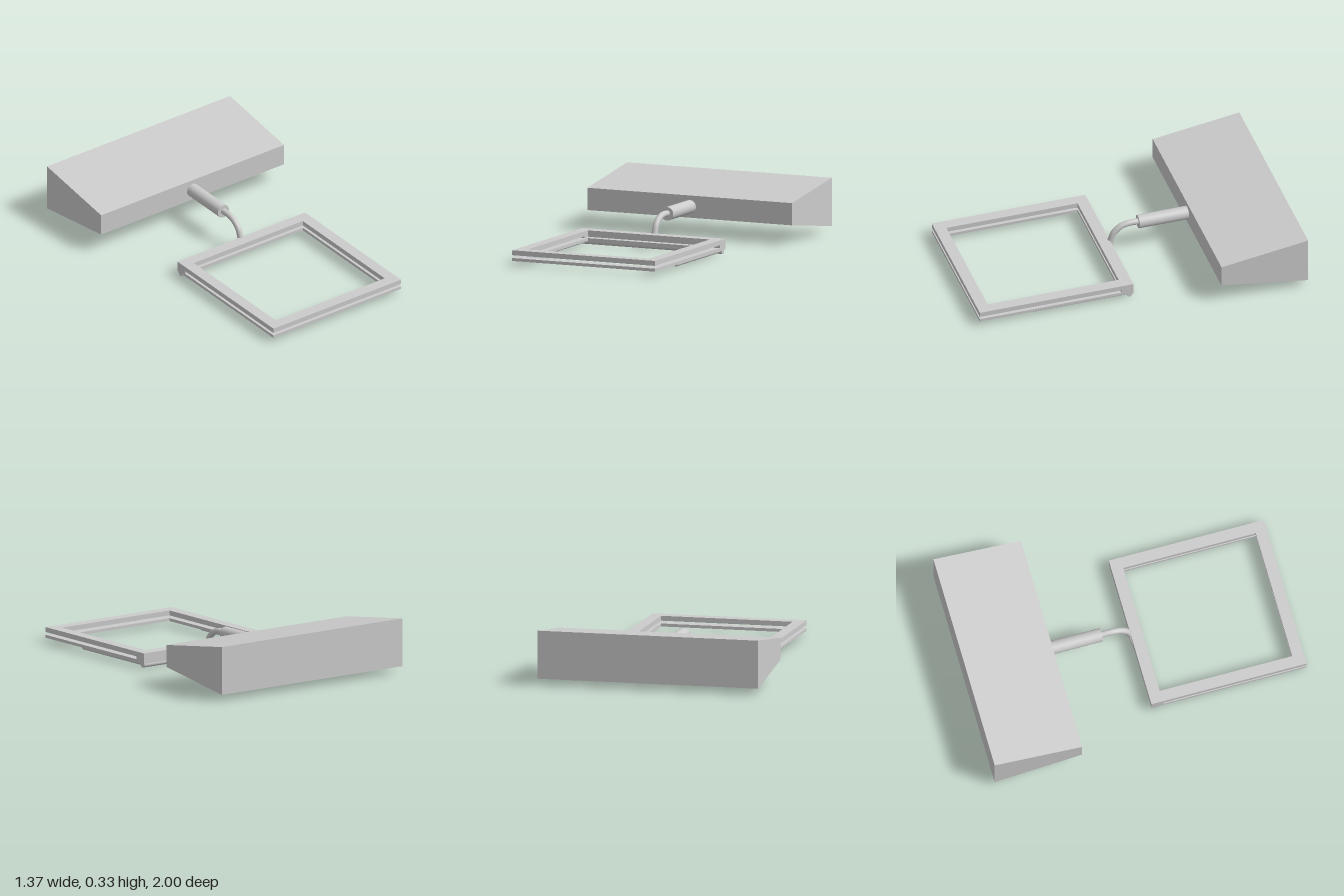
import * as THREE from 'three';

const mat = new THREE.MeshStandardMaterial({ color: 0xcccccc });

export function createModel() {
  const group = new THREE.Group();
  const add = (name, geometry, x = 0, y = 0, z = 0) => {
    const mesh = new THREE.Mesh(geometry, mat);
    mesh.name = name;
    mesh.position.set(x, y, z);
    group.add(mesh);
    return mesh;
  };
  const V = (x, y, z) => new THREE.Vector3(x, y, z);

  // wedge-shaped head, side profile swept across x
  const profile = new THREE.Shape([[-0.455, 0.117], [-0.455, 0.252], [-1, 0.33], [-1, 0.037]]
    .map(([z, y]) => new THREE.Vector2(z, y)));
  const wedge = new THREE.ExtrudeGeometry(profile, { depth: 1.366, bevelEnabled: false });
  wedge.translate(0, 0, -0.683).rotateY(-Math.PI / 2);
  add('head', wedge);

  // sleeve and bent neck
  add('sleeve', new THREE.CylinderGeometry(0.041, 0.041, 0.315, 32).rotateX(Math.PI / 2), 0, 0.184, -0.3025);
  const neck = new THREE.CatmullRomCurve3([
    V(0, 0.186, -0.16), V(0, 0.186, -0.08), V(0, 0.172, -0.035),
    V(0, 0.137, 0.005), V(0, 0.09, 0.025), V(0, 0.035, 0.04),
  ]);
  add('neck', new THREE.TubeGeometry(neck, 32, 0.019, 20));

  // two flat square frames, one above the other
  const frame = (name, y0, y1) => {
    const rect = (S, x, z0, z1) => new S([[-x, -z1], [x, -z1], [x, -z0], [-x, -z0]]
      .map(([a, b]) => new THREE.Vector2(a, b)));
    const shape = rect(THREE.Shape, 0.476, 0.034, 1);
    shape.holes.push(rect(THREE.Path, 0.407, 0.105, 0.93));
    const g = new THREE.ExtrudeGeometry(shape, { depth: y1 - y0, bevelEnabled: false });
    add(name, g.rotateX(-Math.PI / 2), 0, y0, 0);
  };
  frame('upperFrame', 0.061, 0.091);
  frame('lowerFrame', 0.026, 0.044);

  // web closing the slot at the back, with corner fills
  add('backWeb', new THREE.BoxGeometry(0.952, 0.017, 0.024), 0, 0.0525, 0.046);
  for (const s of [-1, 1]) {
    add('cornerFill', new THREE.BoxGeometry(0.051, 0.017, 0.076), s * 0.4505, 0.0525, 0.072);

    // spring wire prongs under the frame and flares into the neck
    add('prong', new THREE.CylinderGeometry(0.013, 0.013, 0.605, 16).rotateX(Math.PI / 2), s * 0.45, 0.021, 0.3575);
    const flare = new THREE.QuadraticBezierCurve3(V(0, 0.055, 0.035), V(s * 0.03, 0.025, 0.04), V(s * 0.16, 0.02, 0.055));
    add('flare', new THREE.TubeGeometry(flare, 16, 0.014, 12));
  }

  // hinge rod along the back edge
  add('backRod', new THREE.CylinderGeometry(0.018, 0.018, 0.94, 20).rotateZ(Math.PI / 2), 0, 0.018, 0.056);

  return group;
}
